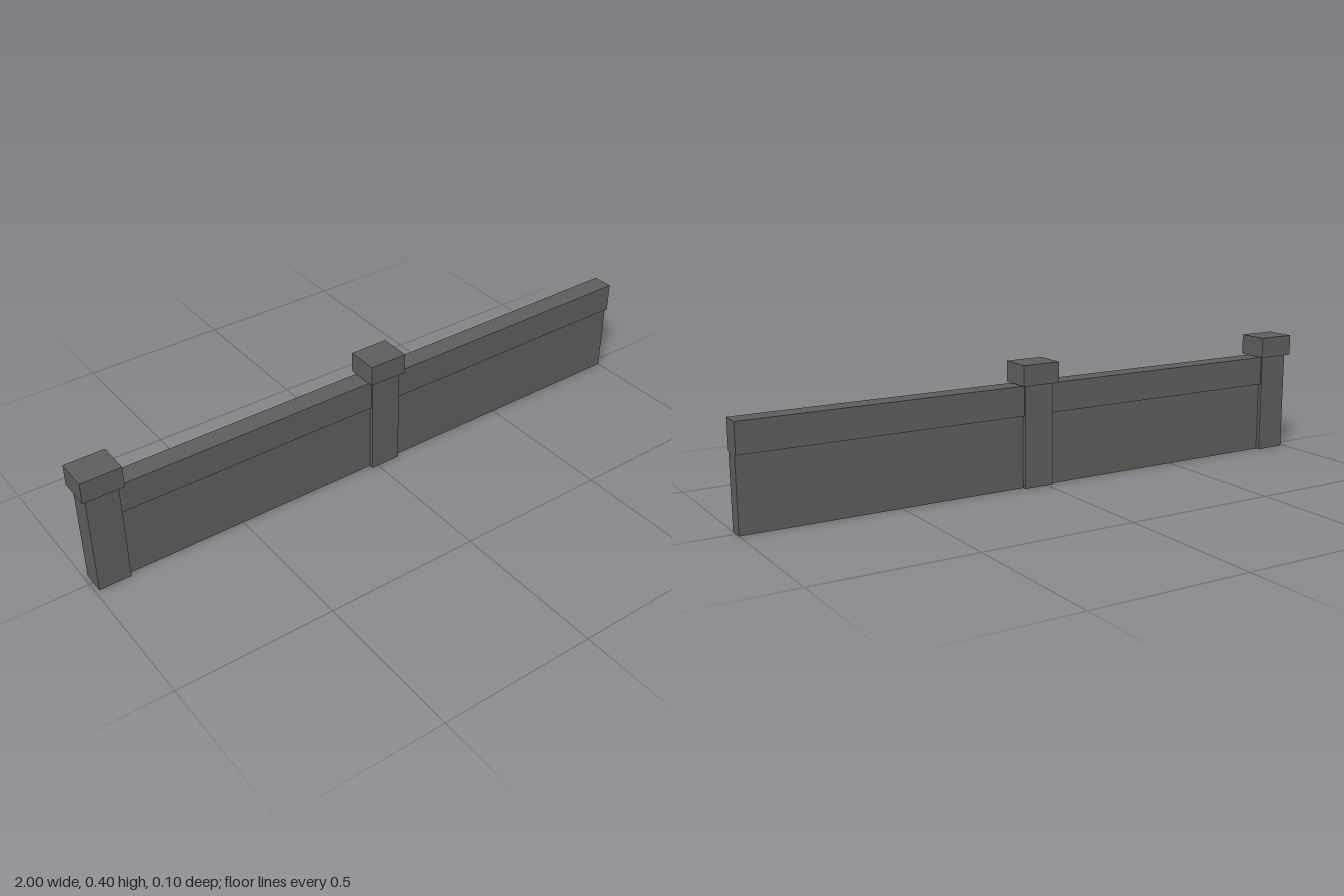
import * as THREE from 'three';

const stone = new THREE.MeshStandardMaterial({ color: 0x5e5e5e, side: THREE.DoubleSide });
stone.name = 'dark grey stone';

// Box from its x and y ranges, centred in depth; openBase leaves out the underside
function block(name, [x0, x1], [y0, y1], depth, openBase = false) {
  const geometry = new THREE.BoxGeometry(x1 - x0, y1 - y0, depth);
  if (openBase) {
    const index = Array.from(geometry.index.array);
    index.splice(18, 6);
    geometry.setIndex(index);
    geometry.clearGroups();
  }
  const mesh = new THREE.Mesh(geometry, stone);
  mesh.name = name;
  mesh.position.set((x0 + x1) / 2, (y0 + y1) / 2, 0);
  return mesh;
}

export function createModel() {
  const wall = new THREE.Group();
  wall.name = 'boundaryWall';

  // Square posts, each with an overhanging cap
  for (const [name, x, top] of [['endPost', -0.9365, 0.398], ['middlePost', 0.0285, 0.396]]) {
    const post = new THREE.Group();
    post.name = name;
    post.add(
      block('postShaft', [x - 0.051, x + 0.051], [0, 0.331], 0.077, true),
      block('postCap', [x - 0.0635, x + 0.0635], [0.33, top], 0.103)
    );
    wall.add(post);
  }

  // Wall spans: hollow lower panel under a thicker coping band
  for (const [name, x0, x1] of [['rightSpan', -0.887, -0.021], ['leftSpan', 0.078, 1]]) {
    const span = new THREE.Group();
    span.name = name;
    span.add(
      block('lowerPanel', [x0, x1], [0, 0.233], 0.049, true),
      block('copingBand', [x0, x1], [0.233, 0.328], 0.067)
    );
    wall.add(span);
  }
  return wall;
}
